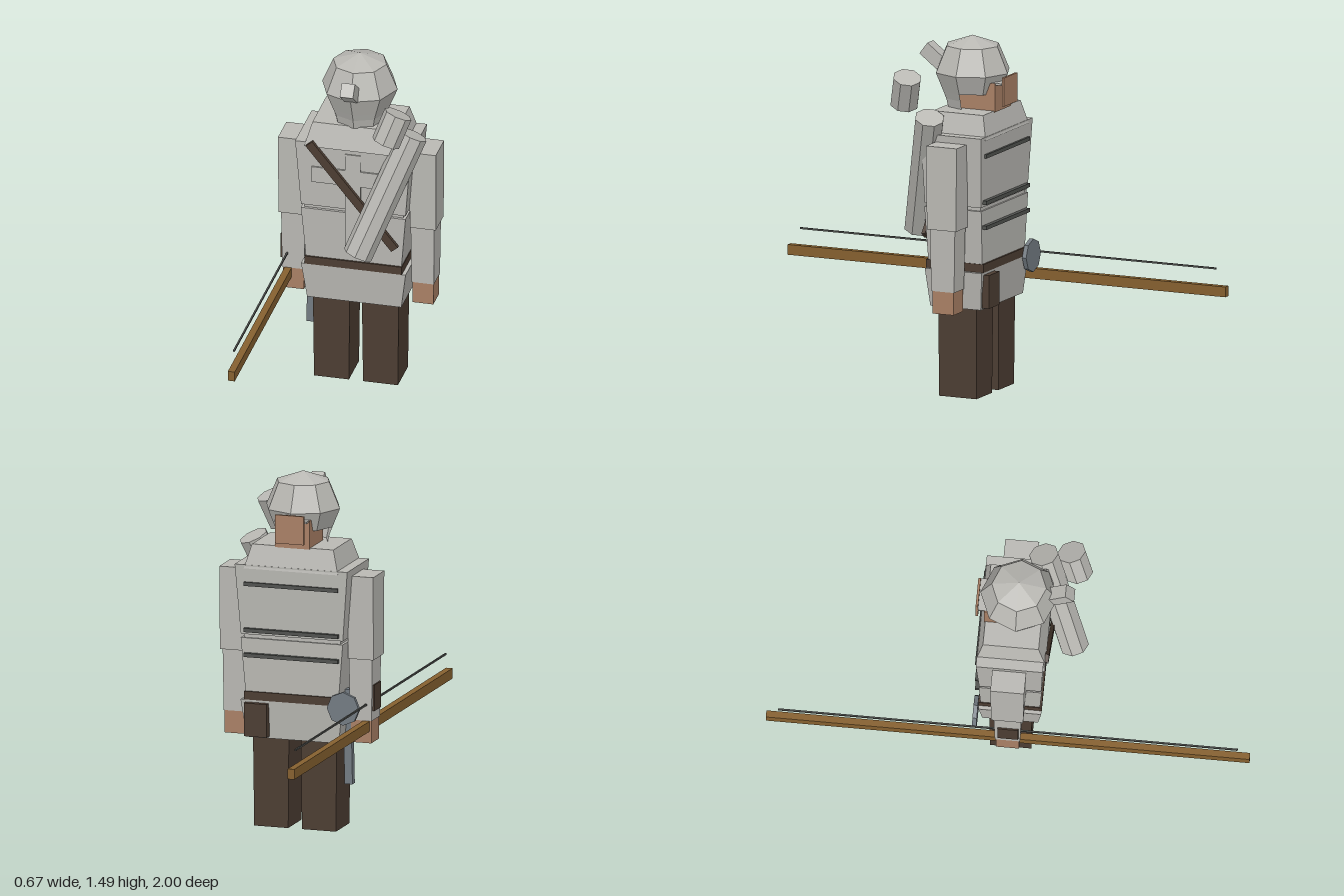
import * as THREE from 'three';

const mat = (name, color, extra = {}) => {
  const m = new THREE.MeshStandardMaterial({ color, flatShading: true, ...extra });
  m.name = name;
  return m;
};

export function createModel() {
  const g = new THREE.Group();
  g.name = 'archer';
  const cloth = mat('cloth grey', 0xb9b8b3, { side: THREE.DoubleSide });
  const brown = mat('dark brown leather', 0x4c3d32);
  const skin = mat('skin', 0xa98065);
  const wood = mat('bow wood', 0x85602f);
  const steel = mat('steel', 0x737b82);
  const dark = mat('dark grey', 0x50524f);

  const add = (name, geo, material, x = 0, y = 0, z = 0) => {
    const m = new THREE.Mesh(geo, material);
    m.name = name;
    m.position.set(x, y, z);
    g.add(m);
    return m;
  };
  // box given by its two corners
  const box = (name, material, x0, x1, y0, y1, z0, z1) =>
    add(name, new THREE.BoxGeometry(x1 - x0, y1 - y0, z1 - z0), material,
      (x0 + x1) / 2, (y0 + y1) / 2, (z0 + z1) / 2);
  // tapered box: half width, back z and front z at the bottom and at the top
  const taper = (name, material, y0, y1, [w0, a0, b0], [w1, a1, b1], x = 0) => {
    const geo = new THREE.BoxGeometry(1, 1, 1);
    const p = geo.attributes.position;
    for (let i = 0; i < p.count; i++) {
      const top = p.getY(i) > 0, front = p.getZ(i) > 0;
      p.setXYZ(i, Math.sign(p.getX(i)) * (top ? w1 : w0), top ? y1 : y0,
        top ? (front ? b1 : a1) : (front ? b0 : a0));
    }
    geo.computeVertexNormals();
    return add(name, geo, material, x);
  };
  // eight-sided cylinder between two points
  const rod = (name, material, r, a, b) => {
    const from = new THREE.Vector3(...a), to = new THREE.Vector3(...b);
    const dir = to.clone().sub(from);
    const m = add(name, new THREE.CylinderGeometry(r, r, dir.length(), 8), material);
    m.position.copy(from).add(to).multiplyScalar(0.5);
    m.quaternion.setFromUnitVectors(new THREE.Vector3(0, 1, 0), dir.normalize());
    return m;
  };

  // tunic
  taper('tunicSkirt', cloth, 0.38, 0.54, [0.2, -0.115, 0.115], [0.222, -0.13, 0.13]);
  taper('tunicWaist', cloth, 0.54, 0.8, [0.2, -0.122, 0.122], [0.222, -0.128, 0.132]);
  taper('tunicChest', cloth, 0.815, 1.11, [0.222, -0.126, 0.13], [0.245, -0.138, 0.138]);
  box('tunicSeam', cloth, -0.21, 0.21, 0.8, 0.815, -0.12, 0.12);
  taper('shoulderYoke', cloth, 1.095, 1.195, [0.205, -0.14, 0.146], [0.177, -0.115, 0.115]);
  box('belt', brown, -0.206, 0.206, 0.54, 0.575, -0.131, 0.131);

  // cloth cross on the chest and bands on the other side
  box('crossUpright', cloth, -0.033, 0.033, 0.64, 1.075, 0.134, 0.142);
  box('crossArm', cloth, -0.175, 0.175, 0.93, 1.0, 0.134, 0.142);
  for (const y of [1.03, 0.835, 0.73]) box('chestBand', dark, -0.205, 0.205, y - 0.008, y + 0.008, -0.145, -0.126);

  // arms and legs
  for (const s of [-1, 1]) {
    taper('upperArm', cloth, 0.73, 1.08, [0.055, -0.066, 0.066], [0.056, -0.07, 0.07], s * 0.279);
    taper('forearm', cloth, 0.47, 0.73, [0.047, -0.052, 0.052], [0.05, -0.057, 0.057], s * 0.275);
    taper('hand', skin, 0.375, 0.47, [0.044, -0.048, 0.048], [0.045, -0.048, 0.048], s * 0.275);
    taper('leg', brown, 0, 0.38, [0.074, -0.085, 0.085], [0.078, -0.088, 0.088], s * 0.104);
  }
  box('bracer', brown, -0.33, -0.32, 0.51, 0.62, -0.04, 0.045);

  // head and hood, open at the face
  const v = (x, y) => new THREE.Vector2(x, y);
  add('hoodCrown', new THREE.LatheGeometry(
    [v(0.127, 1.26), v(0.16, 1.34), v(0.113, 1.45), v(0, 1.49)], 8), cloth, 0, 0, 0.018);
  add('hoodNape', new THREE.LatheGeometry(
    [v(0.105, 1.19), v(0.115, 1.23), v(0.127, 1.26)], 4, -Math.PI / 2, Math.PI), cloth, 0, 0, 0.018);
  box('head', skin, -0.075, 0.075, 1.19, 1.31, -0.12, 0.05);
  box('face', skin, -0.062, 0.062, 1.215, 1.335, -0.156, -0.146);
  box('hoodBrim', cloth, -0.07, 0.07, 1.303, 1.311, -0.146, 0.015);
  const peak = add('hoodPeak', new THREE.BoxGeometry(0.056, 0.06, 0.1), cloth, 0, 1.39, 0.19);
  peak.rotation.x = -0.656;

  // quiver, bundle above it and strap
  rod('quiver', cloth, 0.062, [0.047, 0.67, 0.242], [0.245, 1.18, 0.097]);
  rod('arrowBundle', cloth, 0.06, [0.168, 1.21, 0.25], [0.212, 1.332, 0.215]);
  const strap = add('quiverStrap', new THREE.BoxGeometry(0.575, 0.036, 0.016), brown, 0, 0.89, 0.15);
  strap.rotation.z = -0.885;

  // belt gear
  box('pouch', brown, 0.1, 0.2, 0.39, 0.53, -0.153, -0.12);
  const buckler = add('buckler', new THREE.CylinderGeometry(0.07, 0.07, 0.018, 8), steel, -0.23, 0.535, -0.14);
  buckler.rotation.x = Math.PI / 2;
  const blade = add('blade', new THREE.BoxGeometry(0.034, 0.4, 0.03), steel, -0.215, 0.395, -0.03);
  blade.rotation.z = -0.02;

  // bow and string
  box('bow', wood, -0.312, -0.283, 0.425, 0.468, -1, 1);
  box('bowString', dark, -0.303, -0.296, 0.535, 0.542, -0.95, 0.95);
  return g;
}
